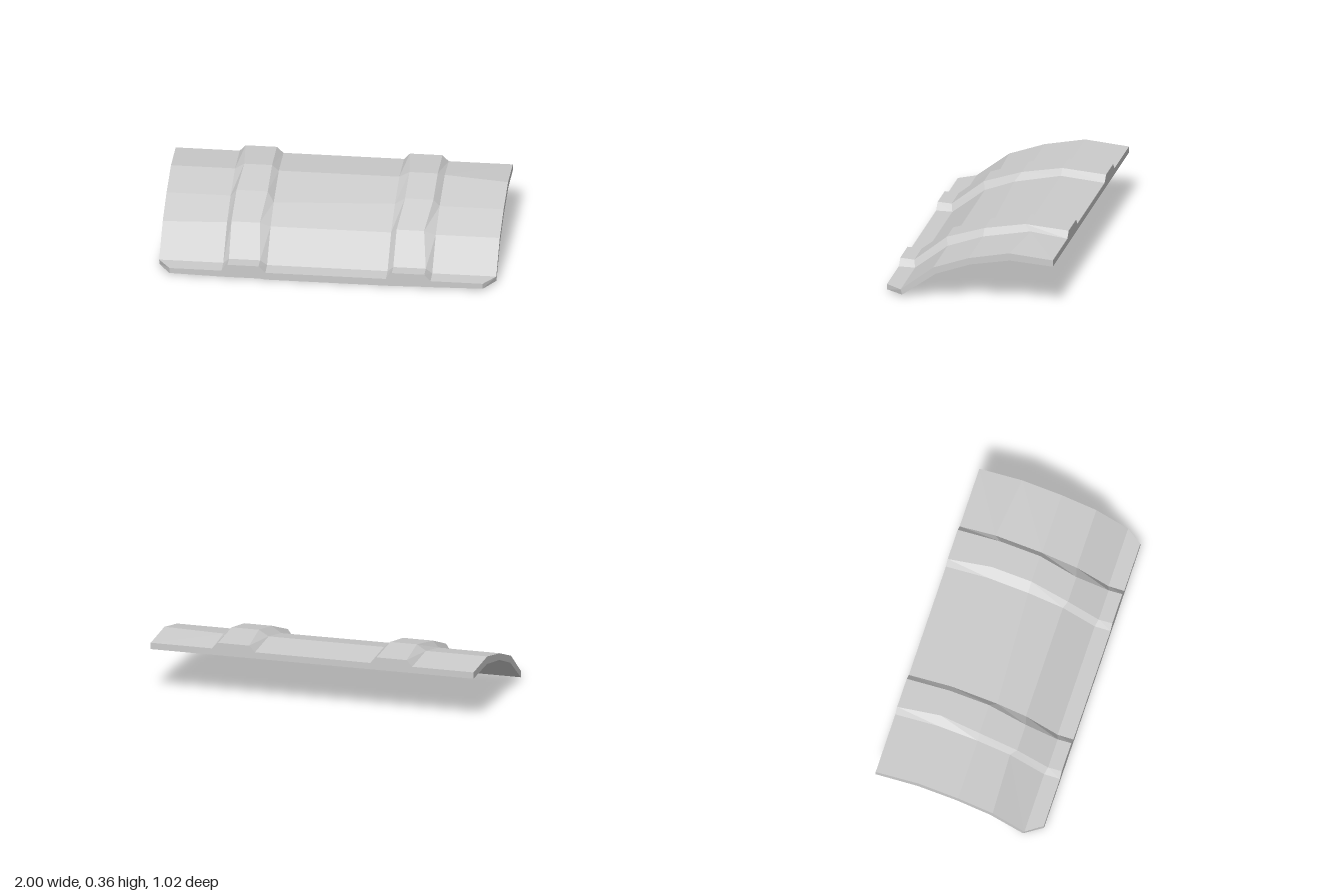
import * as THREE from 'three';

// Cross-sections from front to back as [z, y]
const BASE = [[0.51, 0.045], [0.412, 0.045], [0.215, 0.198], [0, 0.275], [-0.245, 0.325], [-0.51, 0.302]];
const RIDGE = [[0.51, 0.086], [0.425, 0.081], [0.235, 0.23], [0, 0.315], [-0.245, 0.36], [-0.51, 0.34]];
const UNDER = [[0.51, 0.005], [0.403, 0.012], [0.2, 0.16], [-0.01, 0.236], [-0.25, 0.28], [-0.51, 0.263]];

// Columns across the panel; a ridge column may bend from row to row
const COLUMNS = [
  { x: -1 },
  { x: -0.62, shift: { 2: [0.2, 0.203] } },
  { x: -0.585, raised: true, bend: [0, 0, -0.005, 0, 0.02, 0] },
  { x: -0.4, raised: true, bend: [0, 0, -0.022, 0, 0, 0] },
  { x: -0.36, shift: { 3: [0.038, 0.265] } },
  { x: 0.355 },
  { x: 0.39, raised: true, bend: [0, 0, 0, 0.025, 0.025, 0] },
  { x: 0.583, raised: true, bend: [0, 0, -0.03, 0, 0, 0] },
  { x: 0.62, shift: { 4: [-0.287, 0.33] } },
  { x: 1 },
];

export function createModel() {
  const cols = COLUMNS.length, rows = BASE.length;
  const positions = [];
  const quad = (a, b, c, d) => positions.push(...a, ...b, ...c, ...a, ...c, ...d);

  // The front corners are cut off
  const columnX = (x, j) => (j === 0 && Math.abs(x) === 1 ? x * 0.93 : x);

  const top = COLUMNS.map(({ x, raised, bend, shift }) => BASE.map((p, j) => {
    const [z, y] = raised ? RIDGE[j] : shift?.[j] ?? p;
    return [columnX(x, j) + (bend ? bend[j] : 0), y, z];
  }));
  const under = COLUMNS.map(({ x }) => UNDER.map(([z, y], j) => {
    const lip = j === 0 ? (Math.abs(x) === 1 ? 0.007 : Math.abs(x) < 0.4 ? -0.005 : 0) : 0;
    return [columnX(x, j), y + lip, z];
  }));

  // Upper and lower skins
  for (let i = 0; i < cols - 1; i++) {
    for (let j = 0; j < rows - 1; j++) {
      quad(top[i][j], top[i + 1][j], top[i + 1][j + 1], top[i][j + 1]);
      quad(under[i][j], under[i][j + 1], under[i + 1][j + 1], under[i + 1][j]);
    }
  }

  // Rim walls around the outline
  const rim = [];
  for (let i = 0; i < cols - 1; i++) rim.push([i, 0]);
  for (let j = 0; j < rows - 1; j++) rim.push([cols - 1, j]);
  for (let i = cols - 1; i > 0; i--) rim.push([i, rows - 1]);
  for (let j = rows - 1; j > 0; j--) rim.push([0, j]);
  rim.forEach(([i, j], k) => {
    const [m, n] = rim[(k + 1) % rim.length];
    quad(under[i][j], under[m][n], top[m][n], top[i][j]);
  });

  const geometry = new THREE.BufferGeometry();
  geometry.setAttribute('position', new THREE.Float32BufferAttribute(positions, 3));
  geometry.computeVertexNormals();

  const panel = new THREE.Mesh(geometry, new THREE.MeshStandardMaterial({ color: 0xcccccc, flatShading: true }));
  panel.name = 'ridgedPanel';
  const group = new THREE.Group();
  group.name = 'curvedPanel';
  group.add(panel);
  return group;
}
